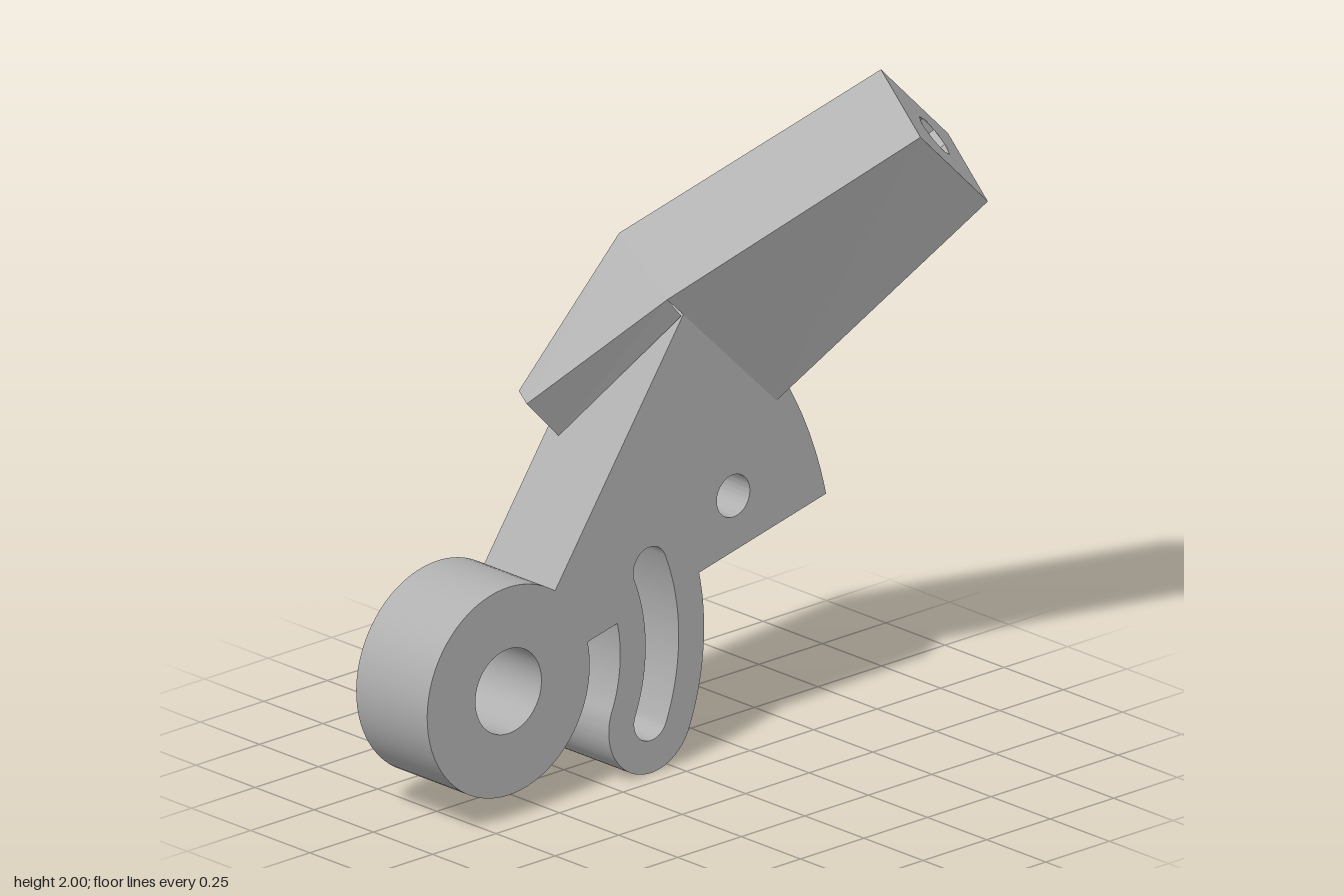
import * as THREE from 'three';
import { mergeGeometries, toCreasedNormals } from 'three/addons/utils/BufferGeometryUtils.js';

const rad = THREE.MathUtils.degToRad;
const V = (x, y, z) => new THREE.Vector3(x, y, z);
const X0 = -0.36, X1 = -0.06; // plate thickness limits

// Flat lever plate: every edge is an arc or radius about the pivot
function plateGeometry() {
  const cx = -0.645, cy = 0.395, low = -22.3, high = 23;
  const arc = (path, r, a, b, cw = false) => path.absarc(cx, cy, r, rad(a), rad(b), cw);
  const cap = (path, r, at, a, b) =>
    path.absarc(cx + 0.605 * Math.cos(rad(at)), cy + 0.605 * Math.sin(rad(at)), r, rad(a), rad(b), false);

  const s = new THREE.Shape();
  arc(s, 0.32, 55, 373);               // pivot ring
  arc(s, 0.44, 13, low, true);         // inner side of slotted arm
  cap(s, 0.165, low, 180 + low, 360 + low);
  arc(s, 0.77, low, 13);               // outer side of slotted arm
  arc(s, 1.283, 13, 55);               // fan edge
  s.closePath();

  const pivot = new THREE.Path();
  arc(pivot, 0.13, 0, 360);
  const slot = new THREE.Path();
  arc(slot, 0.67, low, high);
  cap(slot, 0.065, high, high, high + 180);
  arc(slot, 0.54, high, low, true);
  cap(slot, 0.065, low, 180 + low, 360 + low);
  const bolt = new THREE.Path();
  bolt.absarc(0.24, 0.77, 0.065, 0, Math.PI * 2, false);
  s.holes.push(pivot, slot, bolt);

  const g = new THREE.ExtrudeGeometry(s, { depth: X1 - X0, bevelEnabled: false, curveSegments: 32 });
  g.rotateY(Math.PI / 2).translate(X0, 0, 0);
  return toCreasedNormals(g, 0.5);
}

// Four-cornered face, optionally pierced by a round hole { u, v, r, n }
function panel([a, b, c, d], hole) {
  const s = new THREE.Shape([[0, 0], [1, 0], [1, 1], [0, 1]].map(p => new THREE.Vector2(...p)));
  if (hole) {
    const pts = [];
    for (let i = 0; i < hole.n; i++) {
      const t = (i / hole.n) * Math.PI * 2;
      pts.push(new THREE.Vector2(
        hole.u + hole.r * Math.cos(t) / a.distanceTo(b),
        hole.v + hole.r * Math.sin(t) / a.distanceTo(d)));
    }
    s.holes.push(new THREE.Path(pts.reverse()));
  }
  const g = new THREE.ShapeGeometry(s).toNonIndexed();
  const p = g.attributes.position;
  for (let i = 0; i < p.count; i++) {
    const q = at([a, b, c, d], p.getX(i), p.getY(i));
    p.setXYZ(i, q.x, q.y, q.z);
  }
  g.computeVertexNormals();
  return g;
}

// Point on a four-cornered face
function at([a, b, c, d], u, v) {
  return a.clone().lerp(b, u).lerp(d.clone().lerp(c, u), v);
}

// Blind bore sunk behind a pierced face
function bore(face, { u, v, r, n, depth }) {
  const out = face[1].clone().sub(face[0]).cross(face[3].clone().sub(face[0])).normalize();
  const profile = [[0, 0], [r, 0], [r, depth]].map(p => new THREE.Vector2(...p));
  const g = toCreasedNormals(new THREE.LatheGeometry(profile, n), 0.5);
  g.applyQuaternion(new THREE.Quaternion().setFromUnitVectors(V(0, 1, 0), out));
  const o = at(face, u, v).addScaledVector(out, -depth);
  return g.translate(o.x, o.y, o.z);
}

export function createModel() {
  const grey = new THREE.MeshStandardMaterial({ color: 0xb0b0b0, side: THREE.DoubleSide });
  grey.name = 'plain grey';
  const group = new THREE.Group();
  const add = (name, geometry) => {
    const m = new THREE.Mesh(geometry, grey);
    m.name = name;
    group.add(m);
  };

  add('leverPlate', plateGeometry());

  // Upper end of the slanted beam
  const p1 = V(0.07, 2, -0.7), p2 = V(0.35, 1.895, -0.595);
  const p3 = V(0.35, 1.63, -0.86), p4 = V(0.07, 1.735, -0.965);
  // Where the beam meets the two sides of the plate
  const q1 = V(X0, 1.54, -0.07), q4 = V(X0, 1.11, -0.5);
  const r2 = V(X1, 1.44, 0.02), r3 = V(X1, 1.02, -0.41), s = V(X1, 1.375, -0.035);
  // Lower tip resting on the plate edge
  const a = V(X0, 1.155, 0.325), a2 = V(X0, 1.03, 0.2);
  const c = V(-0.305, 1.135, 0.345), c2 = V(-0.305, 1.005, 0.22);

  const end = [p1, p2, p3, p4], under = [p4, p3, r3, q4];
  const endHole = { u: 0.5, v: 0.5, r: 0.07, n: 8, depth: 0.35 };
  const underHole = { u: 0.48, v: 0.74, r: 0.047, n: 24, depth: 0.2 };

  add('beam', mergeGeometries([
    panel(end, endHole),
    panel(under, underHole),
    panel([p1, q1, r2, p2]),
    panel([p2, r2, r3, p3]),
    panel([p1, p4, q4, q1]),
    panel([q1, q4, a2, a]),
  ]));
  add('beamTip', mergeGeometries([
    panel([q1, a, c, r2]),
    panel([r2, c, c2, s]),
    panel([c, a, a2, c2]),
  ]));
  add('endBore', bore(end, endHole));
  add('undersideBore', bore(under, underHole));
  return group;
}
